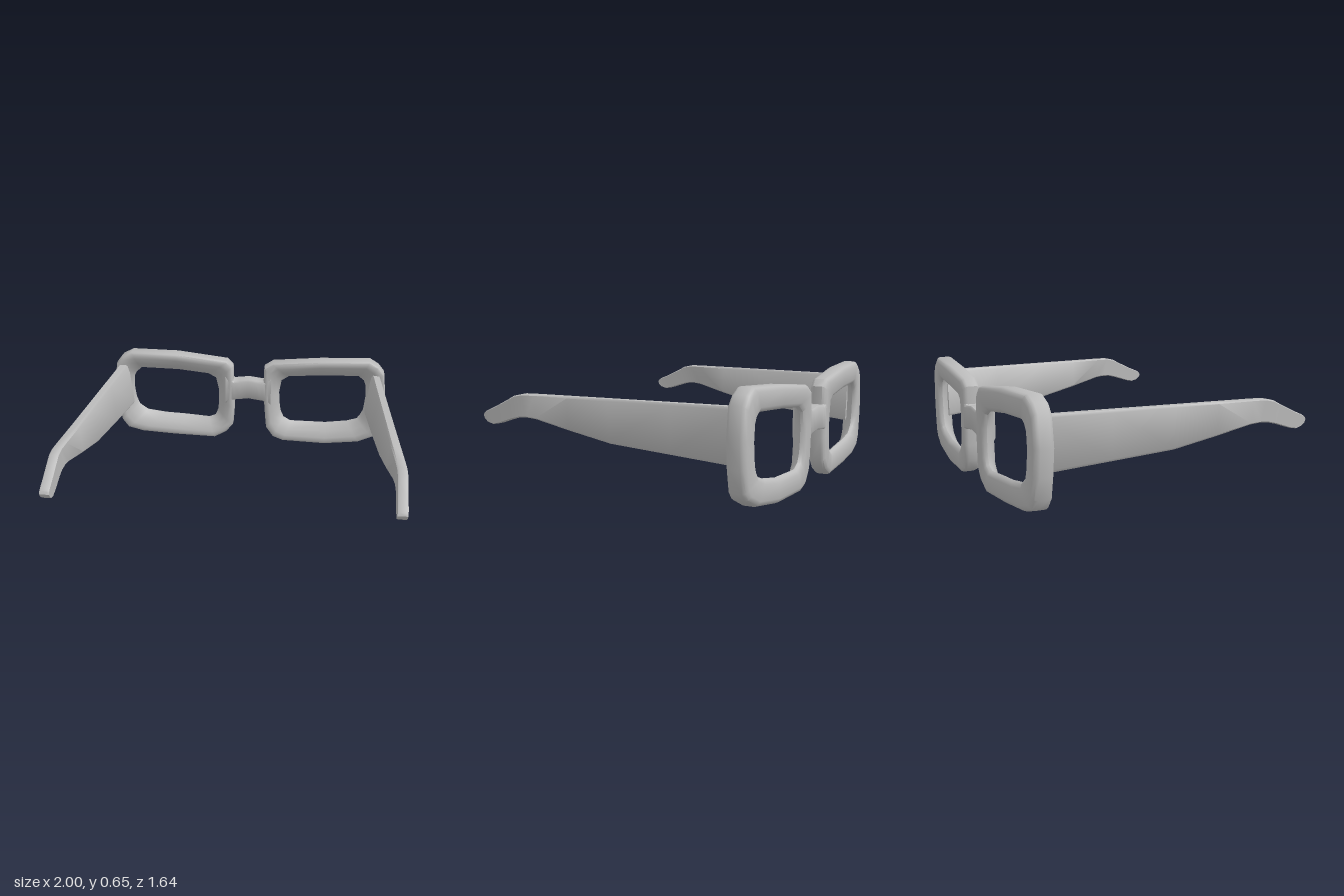
import * as THREE from 'three';
import { toCreasedNormals } from 'three/addons/utils/BufferGeometryUtils.js';

const grey = new THREE.MeshStandardMaterial({ color: 0xbababa });
grey.name = 'frameGrey';

// Skin a row of equal-sized rings; closed joins last to first, otherwise the ends are capped.
function loft(rings, closed, crease = 0.75) {
  const n = rings[0].length, m = rings.length;
  const pts = rings.flat();
  const index = [];
  for (let i = 0; i < (closed ? m : m - 1); i++) {
    for (let j = 0; j < n; j++) {
      const a = i * n + j, b = i * n + (j + 1) % n;
      const c = ((i + 1) % m) * n + j, d = ((i + 1) % m) * n + (j + 1) % n;
      index.push(a, b, c, b, d, c);
    }
  }
  if (!closed) {
    const e = (m - 1) * n;
    for (let j = 1; j < n - 1; j++) index.push(0, j + 1, j, e, e + j, e + j + 1);
  }
  // turn the faces outward
  let volume = 0;
  for (let i = 0; i < index.length; i += 3) {
    const [a, b, c] = [0, 1, 2].map(k => new THREE.Vector3(...pts[index[i + k]]));
    volume += a.dot(b.cross(c));
  }
  if (volume < 0) index.reverse();
  const g = new THREE.BufferGeometry();
  g.setAttribute('position', new THREE.Float32BufferAttribute(pts.flat(), 3));
  g.setIndex(index);
  return toCreasedNormals(g, crease);
}

function addPart(group, name, geometry) {
  const mesh = new THREE.Mesh(geometry, grey);
  mesh.name = name;
  group.add(mesh);
}

// Gently bowed lens-side and wearer-side depths across the width
const lensZ = x => -0.825 + 0.035 * (x / 0.9) ** 2;
const wearerZ = x => -0.73 + 0.05 * Math.abs(x) / 0.9;
const depth = (x, s) => THREE.MathUtils.lerp(lensZ(x), wearerZ(x), s);

// Rim section: t runs from outer edge to opening, s from lens side to wearer side
const rimSection = [
  [0.05, 0.1], [0, 0.25], [0, 0.8], [0.05, 0.94], [0.16, 1], [0.35, 0.97],
  [0.65, 0.75], [0.9, 0.48], [1, 0.3], [0.95, 0.15], [0.8, 0.03], [0.2, 0],
];

// Outer x, y and opening x, y around each rim
const leftRim = [
  [0.105, 0.40, 0.215, 0.36], [0.11, 0.56, 0.23, 0.45], [0.17, 0.60, 0.28, 0.485],
  [0.50, 0.635, 0.50, 0.505], [0.83, 0.655, 0.76, 0.52], [0.89, 0.62, 0.80, 0.49],
  [0.93, 0.57, 0.815, 0.45], [0.95, 0.40, 0.82, 0.38], [0.94, 0.25, 0.81, 0.27],
  [0.92, 0.13, 0.79, 0.225], [0.89, 0.09, 0.77, 0.195], [0.79, 0.04, 0.70, 0.17],
  [0.55, 0.005, 0.55, 0.145], [0.25, 0.005, 0.30, 0.14], [0.18, 0.03, 0.25, 0.17],
  [0.13, 0.10, 0.228, 0.22], [0.12, 0.20, 0.22, 0.28],
];
const rightRim = [
  [0.105, 0.40, 0.215, 0.36], [0.11, 0.56, 0.235, 0.45], [0.15, 0.60, 0.29, 0.48],
  [0.50, 0.645, 0.50, 0.505], [0.81, 0.655, 0.76, 0.515], [0.88, 0.62, 0.80, 0.48],
  [0.92, 0.57, 0.815, 0.45], [0.945, 0.40, 0.82, 0.38], [0.93, 0.25, 0.81, 0.29],
  [0.91, 0.13, 0.79, 0.23], [0.87, 0.07, 0.73, 0.185], [0.77, 0.04, 0.60, 0.165],
  [0.54, 0.02, 0.45, 0.155], [0.24, 0.005, 0.29, 0.14], [0.16, 0.05, 0.24, 0.16],
  [0.11, 0.11, 0.22, 0.21], [0.10, 0.25, 0.215, 0.29],
];

function rim(outline, side) {
  return loft(outline.map(([ox, oy, ix, iy]) => rimSection.map(([t, s]) => {
    const x = side * THREE.MathUtils.lerp(ox, ix, t);
    return [x, THREE.MathUtils.lerp(oy, iy, t), depth(x, s)];
  })), true);
}

// Bridge stations: x, bottom, top
function bridge() {
  const stations = [
    [-0.16, 0.28, 0.49], [-0.1, 0.31, 0.45], [-0.06, 0.314, 0.455], [0, 0.322, 0.462],
    [0.06, 0.314, 0.455], [0.1, 0.31, 0.45], [0.16, 0.28, 0.49],
  ];
  const section = [
    [0, 0.12], [0, 0.88], [0.08, 0.98], [0.92, 0.98], [1, 0.88], [1, 0.12], [0.92, 0.02], [0.08, 0.02],
  ];
  return loft(stations.map(([x, lo, hi]) => section.map(([v, s]) =>
    [x, lo + (hi - lo) * v, depth(x, s)])), false);
}

// Temple stations: top z, top y, bottom z, bottom y, outer x, inward lean of the lower edge
const templeStations = [
  [-0.72, 0.56, -0.72, 0.253, 0.902, 0.03], [-0.35, 0.56, -0.35, 0.287, 0.93, 0.024],
  [0.0, 0.56, 0.0, 0.32, 0.957, 0.016], [0.25, 0.56, 0.25, 0.375, 0.976, 0.008],
  [0.46, 0.56, 0.45, 0.424, 0.992, 0], [0.54, 0.559, 0.51, 0.43, 0.998, 0],
  [0.595, 0.547, 0.56, 0.427, 1, 0], [0.64, 0.523, 0.61, 0.415, 1, 0],
  [0.74, 0.475, 0.71, 0.383, 0.998, 0], [0.795, 0.452, 0.755, 0.375, 0.997, 0],
  [0.812, 0.442, 0.79, 0.385, 0.996, 0], [0.82, 0.425, 0.812, 0.405, 0.995, 0],
];
// Temple section: fraction inward, fraction upward
const templeSection = [
  [0, 0.05], [0, 0.95], [0.15, 1], [0.85, 1], [1, 0.95], [1, 0.05], [0.85, 0], [0.15, 0],
];

function temple(side) {
  const thick = 0.056;
  return loft(templeStations.map(([tz, ty, bz, by, x, lean]) => templeSection.map(([u, v]) => [
    side * (x - thick * u - lean * (1 - v)),
    THREE.MathUtils.lerp(by, ty, v),
    THREE.MathUtils.lerp(bz, tz, v),
  ])), false);
}

export function createModel() {
  const glasses = new THREE.Group();
  glasses.name = 'eyeglasses';
  addPart(glasses, 'leftRim', rim(leftRim, 1));
  addPart(glasses, 'rightRim', rim(rightRim, -1));
  addPart(glasses, 'bridge', bridge());
  addPart(glasses, 'leftTemple', temple(1));
  addPart(glasses, 'rightTemple', temple(-1));
  return glasses;
}
